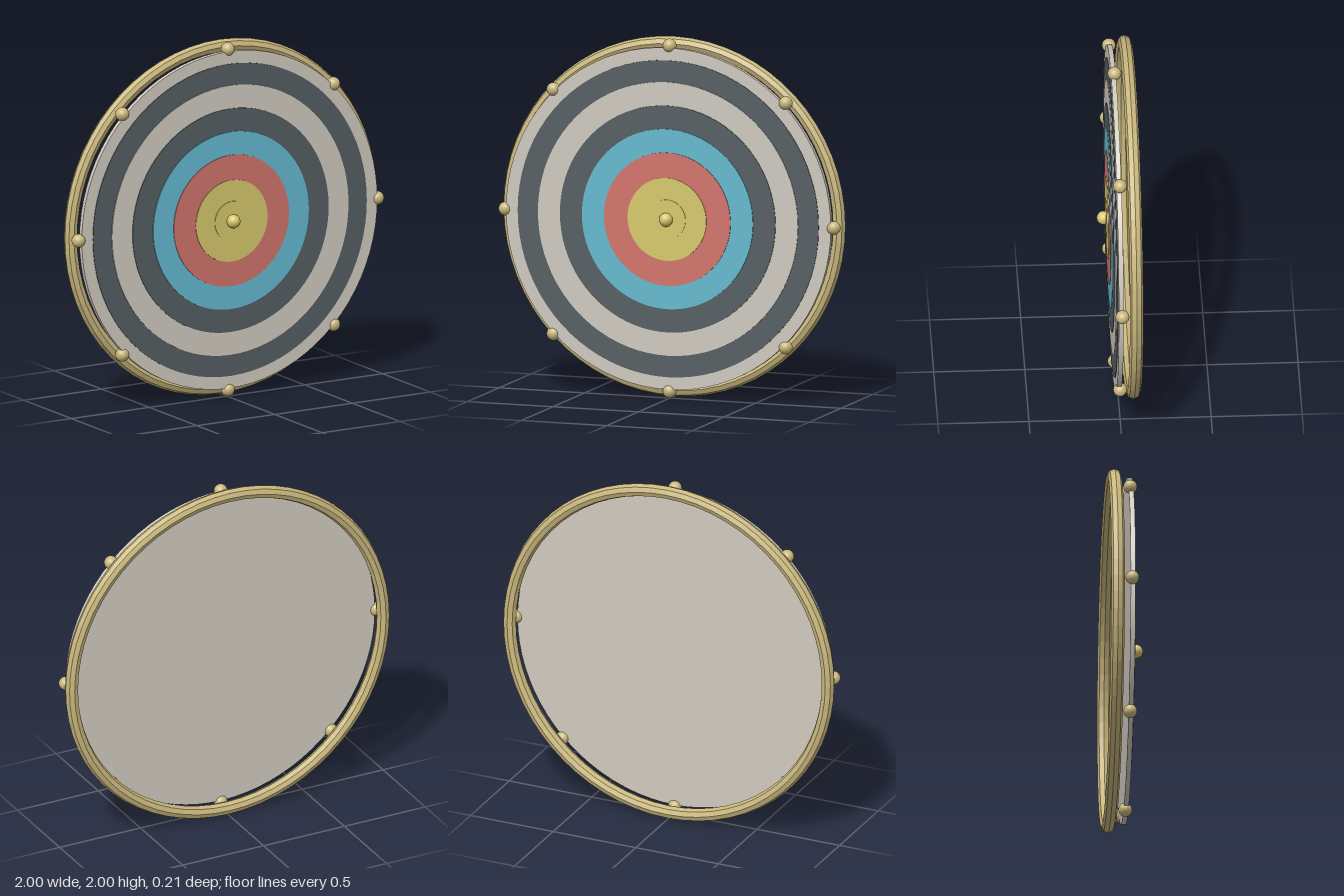
import * as THREE from 'three';

const paint = (name, color) => {
  const m = new THREE.MeshStandardMaterial({ color });
  m.name = name;
  return m;
};

export function createModel() {
  const white = paint('warm white', 0xd0cabf);
  const dark = paint('charcoal', 0x545e62);
  const blue = paint('sky blue', 0x64b9d0);
  const red = paint('coral red', 0xd2756c);
  const yellow = paint('yellow', 0xd7c86c);
  const brass = paint('brass', 0xcab87e);
  brass.flatShading = true;
  const bead = paint('bead brass', 0xcab87e);

  const target = new THREE.Group();
  target.name = 'target';
  const add = (name, geometry, material, x = 0, y = 0, z = 0) => {
    const mesh = new THREE.Mesh(geometry, material);
    mesh.name = name;
    mesh.position.set(x, y, z);
    target.add(mesh);
  };

  // Round rim standing behind the face
  add('rim', new THREE.TorusGeometry(0.963, 0.037, 8, 64), brass, 0, 0, -0.07);

  // Stacked discs, each slightly prouder than the one outside it
  const rings = [
    [0.95, white], [0.88, dark], [0.76, white], [0.63, dark],
    [0.5, blue], [0.37, red], [0.23, yellow], [0.11, yellow],
  ];
  rings.forEach(([radius, material], i) => {
    const back = i ? 0.02 : 0;
    const front = 0.027 + i * 0.004;
    const disc = new THREE.CylinderGeometry(radius, radius, front - back, 80).rotateX(Math.PI / 2);
    add(`ring${i + 1}`, disc, material, 0, 0, (front + back) / 2);
  });

  // Beads around the edge and one at the centre
  const ball = new THREE.SphereGeometry(0.038, 20, 14);
  for (let i = 0; i < 8; i++) {
    const a = (i * Math.PI) / 4;
    add('edgeBead', ball, bead, 0.96 * Math.cos(a), 0.96 * Math.sin(a), 0.008);
  }
  add('centreBead', ball, yellow, 0, 0, 0.068);

  target.position.y = 1;
  const model = new THREE.Group();
  model.add(target);
  return model;
}
